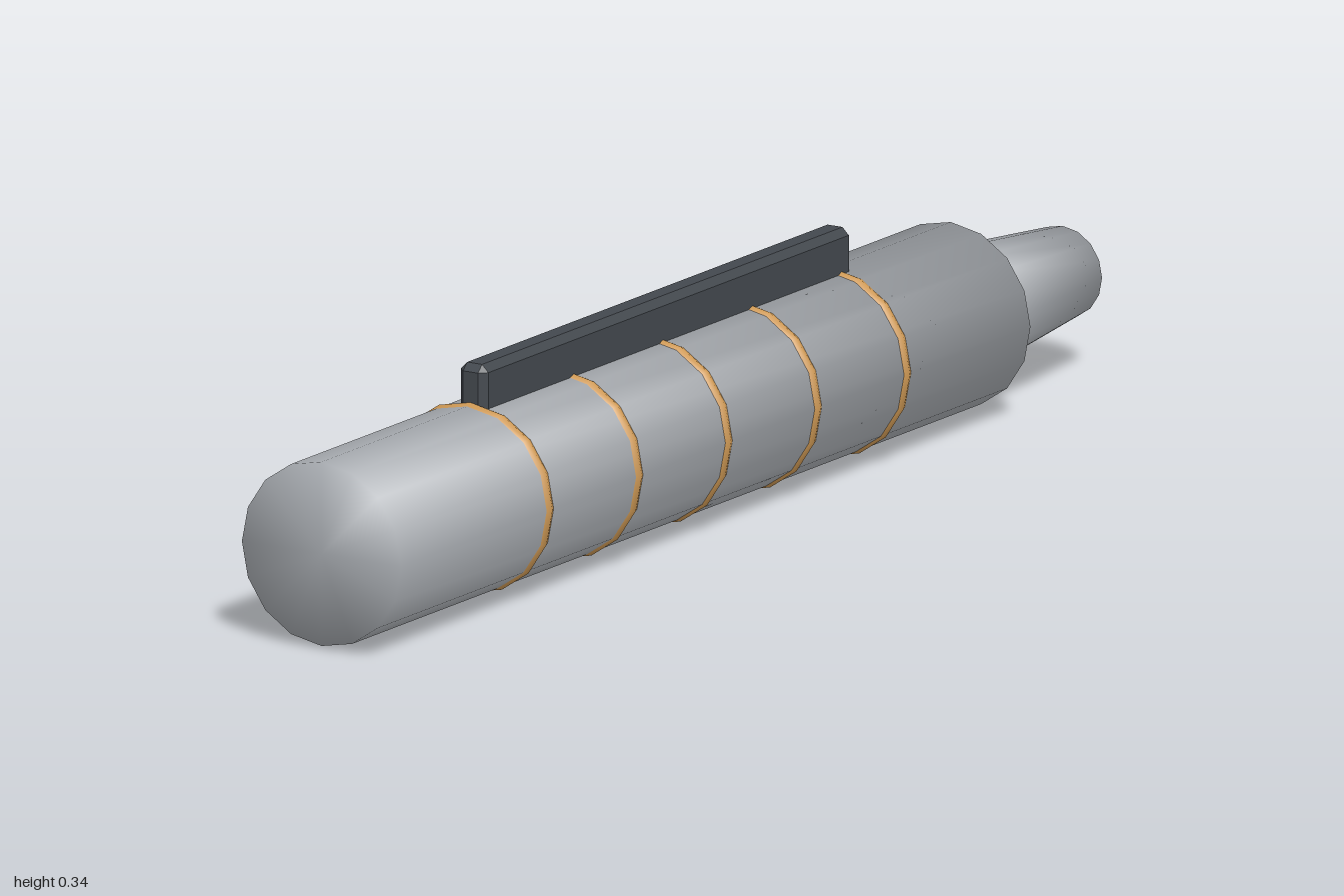
import * as THREE from 'three';
import { ConvexGeometry } from 'three/addons/geometries/ConvexGeometry.js';

const SIDES = 16;
const AXIS_Y = 0.143;

const material = (name, color) => {
  const m = new THREE.MeshStandardMaterial({ color });
  m.name = name;
  return m;
};

// Barrel section along z, shaded softly around its rims
function barrel(frontRadius, backRadius, zFront, zBack) {
  const g = new THREE.CylinderGeometry(frontRadius, backRadius, zFront - zBack, SIDES);
  const p = g.attributes.position, n = g.attributes.normal, v = new THREE.Vector3();
  for (let i = 0; i < p.count; i++) {
    const end = Math.sign(p.getY(i));
    const r = end > 0 ? frontRadius : backRadius;
    v.set(p.getX(i) / r, end, p.getZ(i) / r).normalize();
    n.setXYZ(i, v.x, v.y, v.z);
  }
  g.rotateX(Math.PI / 2);
  g.translate(0, AXIS_Y, (zFront + zBack) / 2);
  return g;
}

// Box with every edge chamfered: three points near each corner
function chamferBox(w, h, d, c) {
  const points = [];
  for (const sx of [-1, 1]) for (const sy of [-1, 1]) for (const sz of [-1, 1]) {
    const x = w / 2, y = h / 2, z = d / 2;
    points.push(
      new THREE.Vector3(sx * x, sy * (y - c), sz * (z - c)),
      new THREE.Vector3(sx * (x - c), sy * y, sz * (z - c)),
      new THREE.Vector3(sx * (x - c), sy * (y - c), sz * z)
    );
  }
  return new ConvexGeometry(points);
}

export function createModel() {
  const model = new THREE.Group();
  model.name = 'penTool';

  const steel = material('grey metal', 0xa5a9ae);
  const brass = material('brass', 0xd09a55);
  const dark = material('dark metal', 0x43484e);
  const red = material('red', 0xb84e42);

  const add = (name, geometry, mat) => {
    const mesh = new THREE.Mesh(geometry, mat);
    mesh.name = name;
    model.add(mesh);
    return mesh;
  };

  // Main tube, tapered tail and end button
  add('body', barrel(0.139, 0.139, 1, -0.69), steel);
  add('taperedTail', barrel(0.098, 0.069, -0.69, -0.99), steel);
  const button = new THREE.CylinderGeometry(0.055, 0.055, 0.03, SIDES);
  button.rotateX(Math.PI / 2);
  add('endButton', button, red).position.set(0, AXIS_Y, -0.985);

  // Evenly spaced rings
  const ring = new THREE.TorusGeometry(0.13, 0.013, 8, SIDES);
  for (let i = 0; i < 5; i++) {
    add('ring' + (i + 1), ring, brass).position.set(0, AXIS_Y, 0.6 - 0.24 * i);
  }

  // Long rail on top
  add('clip', chamferBox(0.048, 0.083, 0.99, 0.011), dark).position.set(0, 0.3015, 0.105);

  return model;
}
